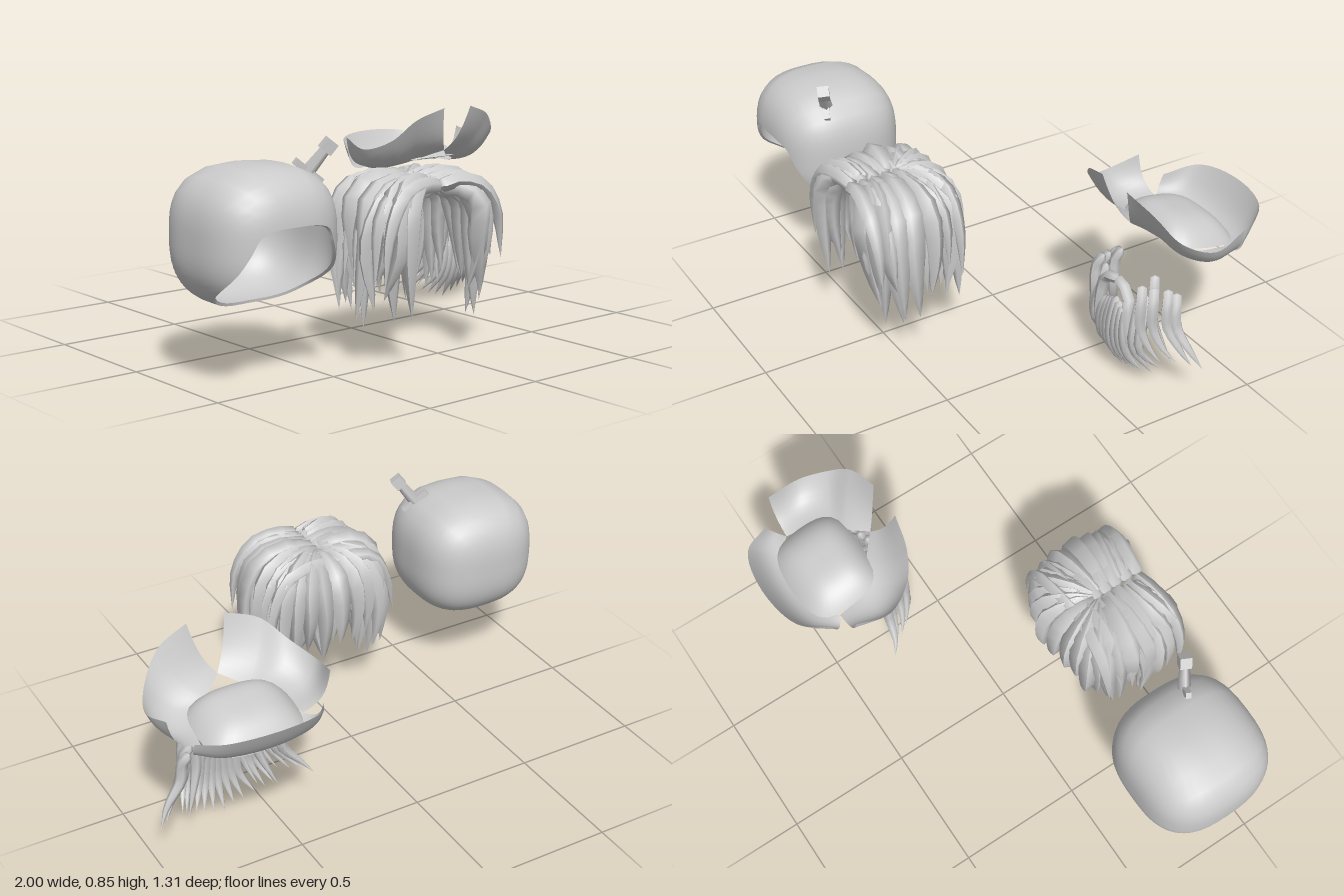
import * as THREE from 'three';
import { ParametricGeometry } from 'three/addons/geometries/ParametricGeometry.js';

const mat = new THREE.MeshStandardMaterial({ color: 0xcccccc, side: THREE.DoubleSide });
const V = (x, y, z) => new THREE.Vector3(x, y, z);
const spline = (pts, closed = false) => new THREE.CatmullRomCurve3(pts.map(p => V(...p)), closed);

let seed = 7;
const jitter = a => {
  seed = (seed * 16807) % 2147483647;
  return (seed / 2147483647 - 0.5) * 2 * a;
};

function add(parent, geo, name) {
  const m = new THREE.Mesh(geo, mat);
  m.name = name;
  parent.add(m);
  return m;
}

function group(parent, name, x = 0, y = 0, z = 0) {
  const g = new THREE.Group();
  g.name = name;
  g.position.set(x, y, z);
  parent.add(g);
  return g;
}

// Tapered strand: a tube with a blunt root that shrinks to a pointed tip
function lock(parent, pts, radius, name, sides = 6, taper = 2.4) {
  const n = 10, curve = spline(pts);
  const geo = new THREE.TubeGeometry(curve, n, 1, sides);
  const pos = geo.attributes.position, p = V(0, 0, 0);
  for (let i = 0; i <= n; i++) {
    const t = i / n, c = curve.getPointAt(t);
    const end = i === 0 ? curve.getPointAt(0.07) : c;
    const r = i === 0 ? 0 : radius * Math.min(1, 0.65 + t * 0.9) * (1 - Math.pow(t, taper));
    for (let j = 0; j <= sides; j++) {
      const k = i * (sides + 1) + j;
      p.fromBufferAttribute(pos, k).sub(c).multiplyScalar(r).add(end);
      pos.setXYZ(k, p.x, p.y, p.z);
    }
  }
  geo.computeVertexNormals();
  return add(parent, geo, name);
}

// Rounded helmet whose arched face opening sweeps back under the chin
function helmet(root) {
  const g = group(root, 'helmet', -0.735, 0.52, 0.35);
  const half = [[0, .06, .26], [.08, .058, .26], [.148, .037, .25], [.175, -.02, .23], [.19, -.08, .18],
    [.2, -.14, .1], [.19, -.195, .04], [.11, -.24, -.01], [0, -.25, -.03]];
  const rim = spline([...half, ...half.slice(1, -1).reverse().map(([x, y, z]) => [-x, y, z])], true);
  const N = 2.8, back = V(0, 0, -1);
  const shell = (u, t, scale, out) => {
    const d = rim.getPoint(u % 1).normalize();
    const w = d.angleTo(back);
    d.multiplyScalar(Math.sin((1 - t) * w)).addScaledVector(back, Math.sin(t * w));
    const s = Math.pow(Math.abs(d.x / .265), N) + Math.pow(Math.abs(d.y / .25), N) + Math.pow(Math.abs(d.z / .262), N);
    return out.copy(d).multiplyScalar(scale * Math.pow(s, -1 / N));
  };
  add(g, new ParametricGeometry((u, v, o) => shell(u, v * .9995, 1, o), 48, 24), 'helmetOuterShell');
  add(g, new ParametricGeometry((u, v, o) => shell(u, v * .9995, .96, o), 48, 24), 'helmetInnerShell');
  add(g, new ParametricGeometry((u, v, o) => shell(u, 0, 1 - .04 * v, o), 48, 1), 'helmetRim');

  // Small dagger hilt stuck in the top
  const k = group(root, 'daggerHilt', -.555, .73, .43);
  k.quaternion.setFromUnitVectors(V(0, 1, 0), V(.06, .085, .035).normalize());
  k.rotateY(-.4);
  add(k, new THREE.BoxGeometry(.125, .025, .022), 'daggerGuard');
  add(k, new THREE.CylinderGeometry(.02, .026, .1, 4), 'daggerGrip').position.y = .045;
  add(k, new THREE.BoxGeometry(.045, .045, .045), 'daggerPommel').position.y = .112;
  add(k, new THREE.BoxGeometry(.03, .08, .012), 'daggerBlade').position.y = -.05;
}

// Wig: layered locks falling from a central parting, open at the face
function wig(root) {
  const g = group(root, 'wig', -.065, 0, .415);
  const soft = v => Math.sign(v) * Math.pow(Math.abs(v), .75);
  const layers = [[25, 1, .29, .045, 0], [21, .87, .24, .043, .014]];
  for (const [count, s, tip, radius, drop] of layers) {
    for (let i = 0; i < count; i++) {
      const a = .65 + (i / (count - 1)) * (2 * Math.PI - 1.3);
      const dx = soft(Math.sin(a)) * s, dz = soft(Math.cos(a)) * s, j = jitter(.016);
      const front = dz > 0;
      lock(g, [
        [-.03 * dx, .632 - drop, (front ? .14 : 0) * dz],
        [.13 * dx, .648 - drop + j, (front ? .18 : .12) * dz],
        [.232 * dx, .595 - drop + j, (front ? .228 : .195) * dz],
        [.268 * dx + j, .44, (front ? .235 : .215) * dz + j],
        [.268 * dx + jitter(.025), tip + jitter(.075) - .05 * Math.abs(dx), .205 * dz + jitter(.025)],
      ], radius + jitter(.005), 'wigLock', 5, 3.2);
    }
  }
  // Locks lying across the crown, meeting at the parting
  for (const side of [-1, 1]) for (let i = 0; i < 7; i++) {
    const z = -.12 + i * .045;
    lock(g, [[-.045 * side, .635, z + .01 * side], [.08 * side, .656 + jitter(.008), z * 1.1],
      [.185 * side, .628, z * 1.2], [.258 * side, .52 + jitter(.03), z * 1.25],
      [.285 * side, .34 + jitter(.04), z * 1.25]], .037, 'crownLock', 5);
  }
}

// Three-cornered hat: low crown and three upturned brim flaps
function hat(root) {
  const g = group(root, 'hat', .66, 0, 0);
  add(g, new ParametricGeometry((u, v, o) => {
    const r = .003 + .997 * v, a = u * 2 * Math.PI;
    const c = Math.cos(a), s = Math.sin(a);
    const q = r * Math.pow(c ** 4 + s ** 4, -.18);
    const z = -.395 + .16 * q * s;
    o.set(.195 * q * c, .56 + .21 * (z + .4) + .08 * (1 - r ** 3.2), z);
  }, 40, 12), 'hatCrown');
  const flap = (inner, outer, side, name) => {
    const a = spline(inner), b = spline(outer), p = V(0, 0, 0);
    add(g, new ParametricGeometry((u, v, o) => {
      a.getPoint(u, o).lerp(b.getPoint(u, p), v);
      const bulge = Math.sin(Math.PI * v);
      o.y -= .032 * bulge;
      o.x *= side * (1 + .08 * bulge);
    }, 24, 8), name);
  };
  for (const side of [1, -1]) {
    flap([[0, .63, -.18], [.08, .595, -.25], [.14, .575, -.28], [.18, .555, -.35], [.2, .55, -.45]],
      [[.075, .82, -.1], [.2, .775, -.13], [.285, .69, -.19], [.338, .65, -.3], [.318, .685, -.44]],
      side, 'hatSideFlap');
  }
  flap([[.2, .55, -.45], [.14, .535, -.51], [0, .53, -.54], [-.14, .535, -.51], [-.2, .55, -.45]],
    [[.25, .61, -.51], [.18, .655, -.62], [0, .67, -.66], [-.18, .655, -.62], [-.25, .61, -.51]],
    1, 'hatBackFlap');
}

// Beard with an arched moustache
function beard(root) {
  const g = group(root, 'beard', .655, 0, 0);
  const burnZ = [-.24, -.17, -.21, -.26, -.285];
  for (const side of [-1, 1]) {
    // Moustache halves crossing at the centre
    lock(g, [[-.035 * side, .395, -.14], [.02 * side, .4, -.135], [.07 * side, .375, -.135],
      [.088 * side, .28, -.125], [.105 * side, .17, -.13], [.14 * side, .07, -.18]], .027, 'moustache');
    // Sideburn locks
    burnZ.forEach((z, k) => {
      const x = .085 + k * .019, y = .465 - k * .014;
      lock(g, [[x * side, y, z], [(x + .035) * side, y - .05, z + .025],
        [(.125 + k * .021) * side, .27, z + .03], [(.15 + k * .032) * side, .19, z + .01],
        [(.185 + k * .033) * side, .1 + k * .012 + jitter(.025), z - .02]], .026, 'sideburnLock');
    });
    // Cheek locks joining chin and sideburns
    for (let k = 0; k < 2; k++) {
      const x = .1 + k * .025;
      lock(g, [[x * side, .38 + k * .03, -.165 - k * .02], [(x + .015) * side, .28, -.14 - k * .01],
        [(x + .025) * side, .17, -.13 - k * .01], [(x + .065) * side, .06 + k * .025, -.19 - k * .02]],
        .026, 'cheekLock');
    }
  }
  // Chin locks
  for (let k = -3; k <= 3; k++) {
    const d = Math.abs(k);
    lock(g, [[k * .017, .35 - d * .012, -.145], [k * .023, .24, -.12 - d * .002],
      [k * .028, .12, -.12 - d * .004], [k * .042 + jitter(.008), d * .014, -.18]], .027, 'chinLock');
  }
}

export function createModel() {
  const root = new THREE.Group();
  root.name = 'headwearSet';
  helmet(root);
  wig(root);
  hat(root);
  beard(root);
  return root;
}
